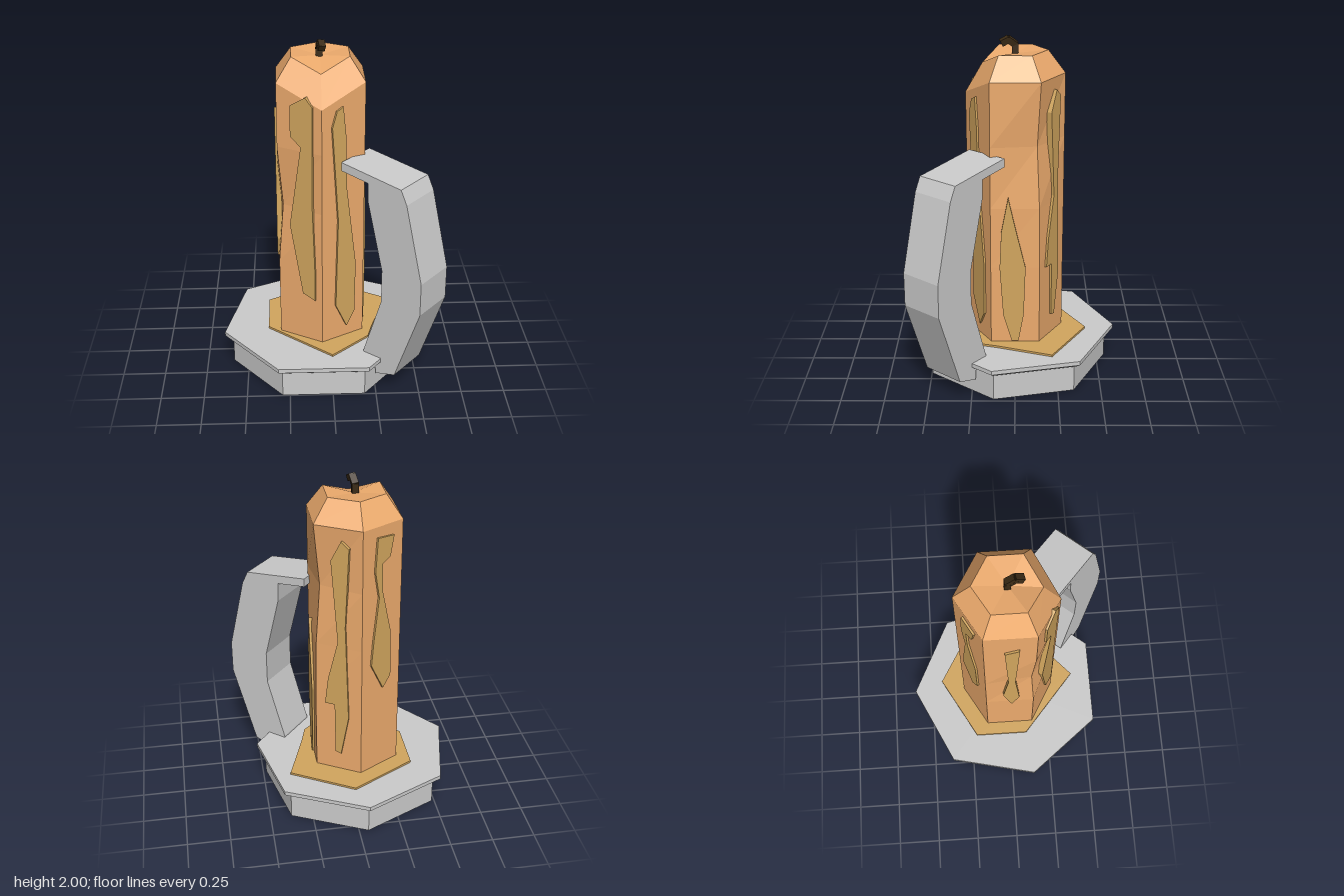
import * as THREE from 'three';

const CX = -0.055; // axis of candle and base
const mat = (color) => new THREE.MeshStandardMaterial({ color, flatShading: true });
const grey = mat(0xcccccc), wax = mat(0xedab6d), drip = mat(0xd2a65e), dark = mat(0x3a2a15);

const shapeOf = (pts) => new THREE.Shape(pts.map(([x, y]) => new THREE.Vector2(x, y)));
const extrude = (pts, depth) =>
  new THREE.ExtrudeGeometry(shapeOf(pts), { depth, bevelEnabled: false });

function add(parent, name, geometry, material, x = 0, y = 0, z = 0) {
  const mesh = new THREE.Mesh(geometry, material);
  mesh.name = name;
  mesh.position.set(x, y, z);
  parent.add(mesh);
  return mesh;
}

// Hexagonal candle built from rings; a few corners are pushed in or lowered
function candleGeometry() {
  const rings = [
    { r: 0.283, y: 0.2 }, { r: 0.283, y: 0.7 }, { r: 0.283, y: 1.06 },
    { r: 0.283, y: 1.42 }, { r: 0.283, y: 1.79 }, { r: 0.185, y: 1.92 },
  ];
  const radius = { '2,5': 0.25, '3,2': 0.245, '2,2': 0.275 }; // worn corners: ring,corner
  const height = { '4,0': 1.68, '5,0': 1.85 };               // melted front lip
  const pos = [], idx = [];
  rings.forEach(({ r, y }, i) => {
    for (let k = 0; k < 6; k++) {
      const a = (k * Math.PI) / 3, key = `${i},${k}`;
      const rr = radius[key] ?? r;
      pos.push(rr * Math.sin(a), height[key] ?? y, rr * Math.cos(a));
    }
  });
  for (let i = 0; i < rings.length - 1; i++) {
    for (let k = 0; k < 6; k++) {
      const a = i * 6 + k, b = i * 6 + ((k + 1) % 6);
      idx.push(a, b, b + 6, a, b + 6, a + 6);
    }
  }
  // dished top
  const last = (rings.length - 1) * 6, centre = rings.length * 6;
  pos.push(0, 1.9, 0);
  for (let k = 0; k < 6; k++) idx.push(last + k, last + ((k + 1) % 6), centre);
  const g = new THREE.BufferGeometry();
  g.setAttribute('position', new THREE.Float32BufferAttribute(pos, 3));
  g.setIndex(idx);
  g.computeVertexNormals();
  return g;
}

// Wax run outlines: facing angle in degrees, then points across and up the face
const DRIPS = [
  ['dripFrontLeft', -30, [[-0.05, 1.68], [0.045, 1.74], [0.09, 1.69], [0.085, 1.1], [0.1, 0.68],
    [0.1, 0.5], [0.02, 0.53], [-0.06, 0.96], [0.015, 1.45], [-0.05, 1.5]]],
  ['dripFrontRight', 30, [[-0.08, 1.57], [-0.05, 1.66], [-0.01, 1.68], [0.01, 1.5], [0.015, 1.2],
    [0.08, 0.7], [0.075, 0.38], [0.02, 0.29], [-0.055, 0.45], [-0.04, 1.0]]],
  ['dripRight', 90, [[-0.04, 1.13], [-0.08, 0.92], [-0.09, 0.7], [-0.07, 0.4], [-0.02, 0.23],
    [0.02, 0.23], [0.05, 0.4], [0.06, 0.7], [0, 0.95]]],
  ['dripBackRight', 150, [[-0.04, 1.6], [0.02, 1.72], [0.066, 1.68], [0.045, 1.2], [0.066, 0.6],
    [0.02, 0.34], [-0.015, 0.35], [-0.02, 0.68], [-0.08, 0.68], [-0.06, 0.85], [0, 1.1]]],
  ['dripBackLeft', -150, [[-0.045, 1.73], [0.07, 1.72], [0.045, 1.6], [-0.01, 1.57], [-0.005, 1.4],
    [0.06, 1.13], [0.065, 0.84], [0.01, 0.77], [-0.08, 0.95], [-0.065, 1.1], [-0.03, 1.37], [-0.06, 1.53]]],
  ['dripLeft', -90, [[-0.03, 1.58], [0.05, 1.62], [0.03, 1.1], [0.055, 0.8], [0.01, 0.67],
    [-0.04, 0.85], [-0.01, 1.1]]],
];

export function createModel() {
  const model = new THREE.Group();
  model.name = 'candleHolder';

  // Seven-sided base with a chamfered plate
  add(model, 'foot', new THREE.CylinderGeometry(0.55, 0.55, 0.17, 7, 1, false, Math.PI), grey, CX, 0.085, 0);
  const plate = [[0, 0.165], [0.57, 0.165], [0.6, 0.185], [0.6, 0.21], [0, 0.21]]
    .map(([x, y]) => new THREE.Vector2(x, y));
  add(model, 'plate', new THREE.LatheGeometry(plate, 7, Math.PI), grey, CX, 0, 0);

  // Pool of wax on the plate
  const pool = extrude([[0, 0.425], [0.36, 0.215], [0.25, -0.11], [0.22, -0.22], [0, -0.42],
    [-0.375, -0.1], [-0.375, 0.215]], 0.02);
  pool.rotateX(-Math.PI / 2);
  add(model, 'waxPool', pool, drip, 0, 0.202, 0);

  // Candle and wax runs
  add(model, 'candle', candleGeometry(), wax, CX, 0, 0);
  for (const [name, degrees, pts] of DRIPS) {
    const g = extrude(pts, 0.04);
    g.translate(0, 0, 0.217);
    add(model, name, g, drip, CX, 0, 0).rotation.y = THREE.MathUtils.degToRad(degrees);
  }

  // Handle: side profile (out, up) turned towards the front right corner
  const handle = extrude([[0.25, 1.37], [0.647, 1.315], [0.686, 1.235], [0.797, 0.79], [0.797, 0.595],
    [0.64, 0.135], [0.51, 0.095], [0.5, 0.19], [0.42, 0.2], [0.42, 0.22], [0.536, 0.59],
    [0.536, 0.79], [0.435, 1.18], [0.43, 1.295], [0.25, 1.32]], 0.262);
  handle.translate(0, 0, -0.131);
  add(model, 'handle', handle, grey, CX, 0, 0).rotation.y = THREE.MathUtils.degToRad(-40);

  // Bent wick from short square segments
  const wick = new THREE.Group();
  wick.name = 'wick';
  model.add(wick);
  const path = [[-0.06, 1.89, 0], [-0.06, 1.95, 0], [-0.052, 1.98, 0.04], [-0.047, 1.962, 0.075]]
    .map((p) => new THREE.Vector3(...p));
  for (let i = 0; i < path.length - 1; i++) {
    const dir = path[i + 1].clone().sub(path[i]);
    const seg = add(wick, 'wickSegment', new THREE.BoxGeometry(0.038, dir.length() + 0.012, 0.036), dark);
    seg.position.copy(path[i]).addScaledVector(dir, 0.5);
    seg.quaternion.setFromUnitVectors(new THREE.Vector3(0, 1, 0), dir.normalize());
  }
  return model;
}
